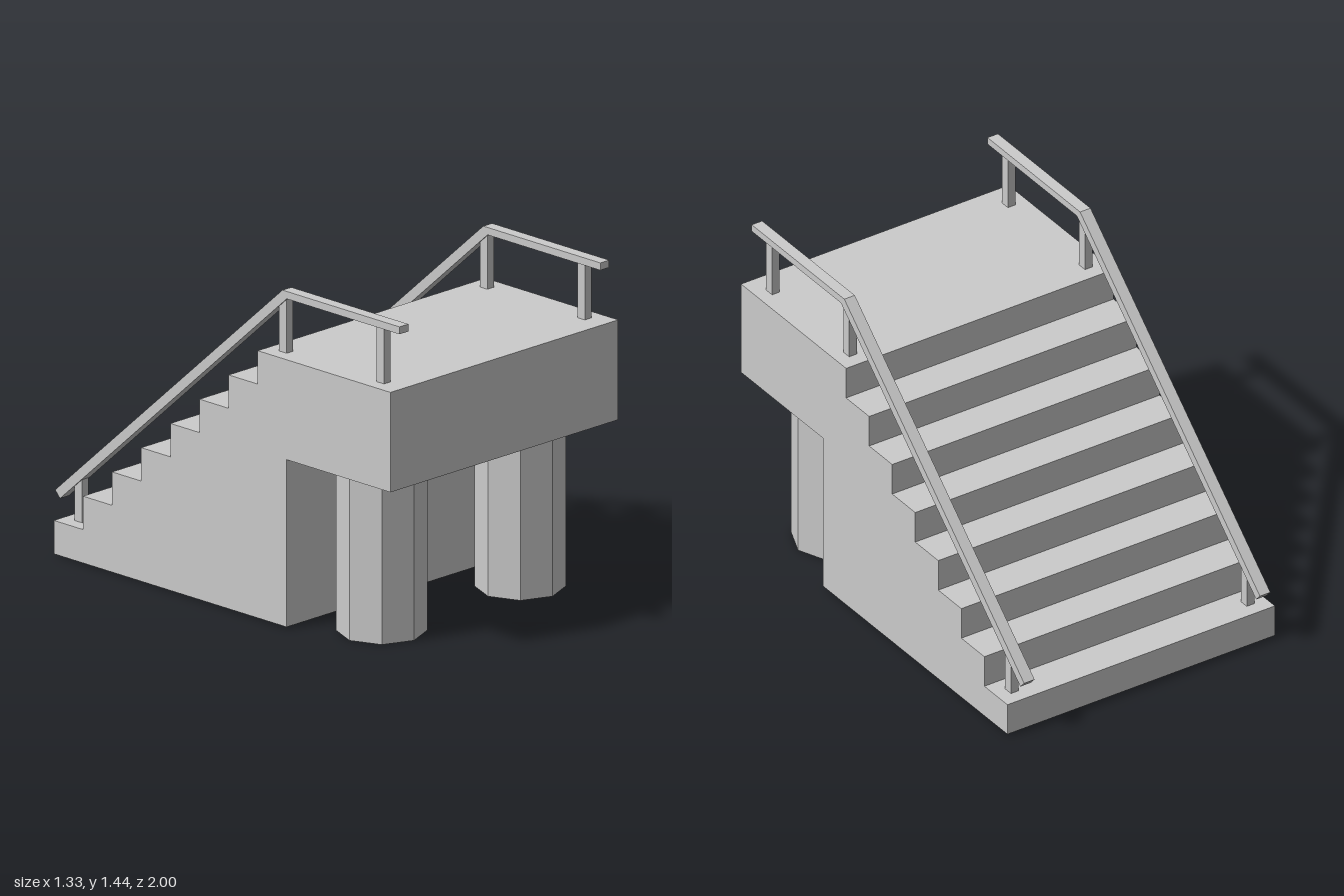
import * as THREE from 'three';

const material = new THREE.MeshStandardMaterial({ color: 0xcccccc, flatShading: true });

// Extrudes a side profile of [z, y] points across x, centred on x = 0
function extrudeAcross(points, width) {
  const shape = new THREE.Shape(points.map(([z, y]) => new THREE.Vector2(z, y)));
  const geometry = new THREE.ExtrudeGeometry(shape, { depth: width, bevelEnabled: false });
  return geometry.translate(0, 0, -width / 2).rotateY(-Math.PI / 2);
}

function addMesh(parent, name, geometry, x = 0, y = 0, z = 0) {
  const mesh = new THREE.Mesh(geometry, material);
  mesh.name = name;
  mesh.position.set(x, y, z);
  parent.add(mesh);
  return mesh;
}

export function createModel() {
  const model = new THREE.Group();
  model.name = 'platformStairs';

  const base = 0.007, deckTop = 1.168, deckBottom = 0.734;
  const steps = 8, rise = (deckTop - base) / steps;
  const deckEdge = 0.229, tread = 0.1692;

  // Platform and staircase share one stepped side profile
  const profile = [[0.397, base], [0.397, deckBottom], [1, deckBottom], [1, deckTop]];
  for (let i = 0; i < steps; i++) {
    const z = deckEdge - i * tread;
    profile.push([z, deckTop - i * rise], [z, deckTop - (i + 1) * rise]);
  }
  addMesh(model, 'platformAndSteps', extrudeAcross(profile, 1.332));

  // Handrail: level over the platform, then sloping down with the steps
  const railProfile = [
    [1, 1.408], [1, 1.44], [0.32, 1.44], [-1, 0.262], [-0.972, 0.231], [0.345, 1.408],
  ];
  const posts = [[0.882, deckTop, 1.415], [0.316, deckTop, 1.41], [-0.872, base + rise, 0.345]];

  for (const [side, sign] of [['left', 1], ['right', -1]]) {
    // Octagonal support column
    addMesh(model, side + 'Column', new THREE.CylinderGeometry(0.188, 0.188, deckBottom, 8),
      sign * 0.405, deckBottom / 2, 0.69);

    const railing = new THREE.Group();
    railing.name = side + 'Railing';
    railing.position.x = sign * 0.587;
    addMesh(railing, 'handrail', extrudeAcross(railProfile, 0.052));
    for (const [z, bottom, top] of posts) {
      addMesh(railing, 'railPost', new THREE.BoxGeometry(0.038, top - bottom, 0.043),
        0, (top + bottom) / 2, z);
    }
    model.add(railing);
  }
  return model;
}
